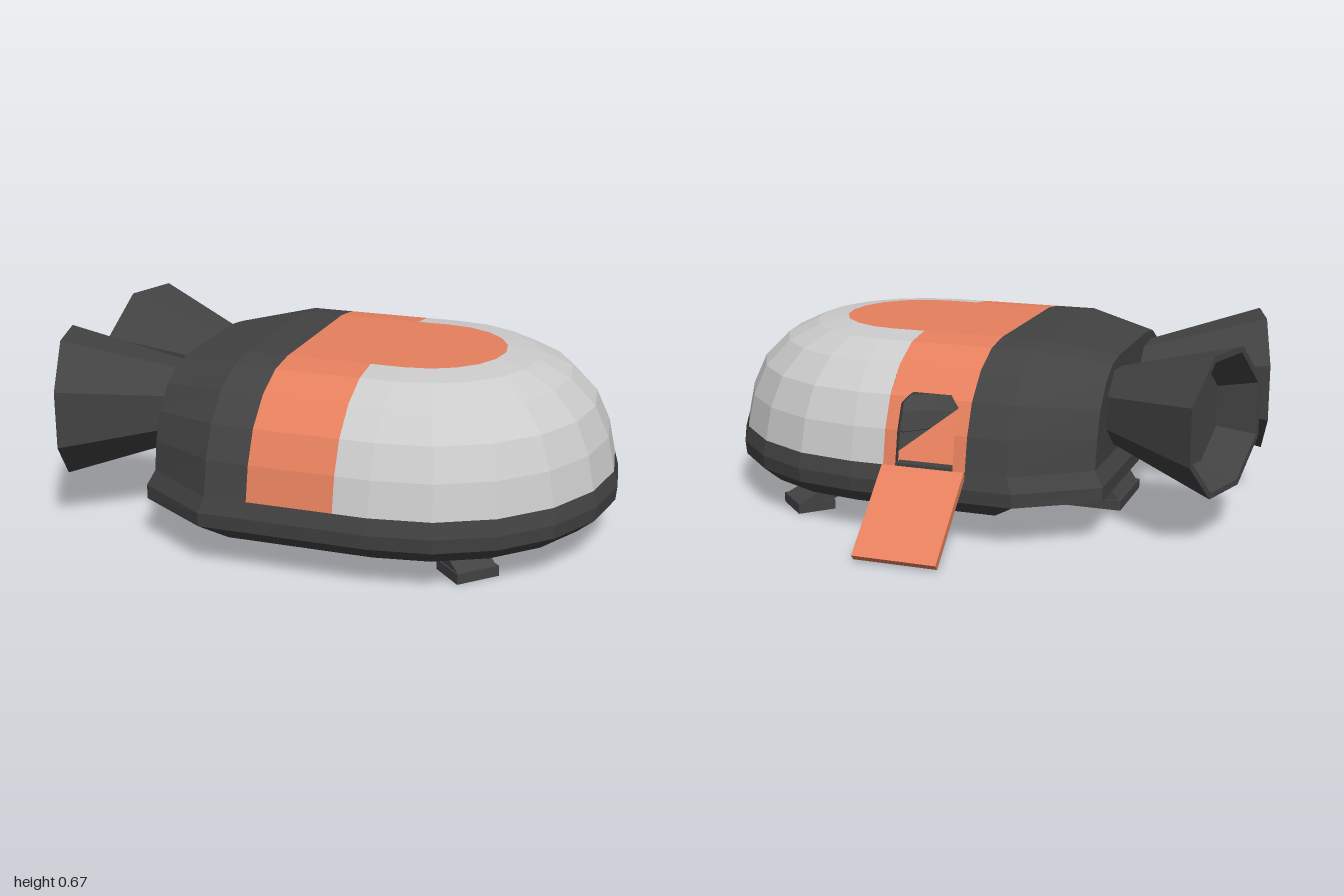
import * as THREE from 'three';

const CZ = 0.13;   // hull centre line in z
const NOSE = 0.31; // centre of the rounded nose in x
const V = (x, y, z) => new THREE.Vector3(x, y, z + CZ);
const paint = (color) => new THREE.MeshStandardMaterial({ color, flatShading: true, side: THREE.DoubleSide });

// Dome profile as [half width, height], base to roof
const DOME = [[0.675, 0.26], [0.65, 0.38], [0.6, 0.49], [0.51, 0.58], [0.395, 0.635], [0.28, 0.65]];

function geometryFrom(triangles) {
  const g = new THREE.BufferGeometry().setFromPoints(triangles.flat());
  g.computeVertexNormals();
  return g;
}

// Skin stretched over rows of points, skipping empty triangles
function grid(rows) {
  const tris = [];
  const add = (...t) => { if (new THREE.Triangle(...t).getArea() > 1e-7) tris.push(t); };
  for (let i = 0; i + 1 < rows.length; i++) {
    for (let j = 0; j + 1 < rows[i].length; j++) {
      const a = rows[i][j], b = rows[i][j + 1], c = rows[i + 1][j + 1], d = rows[i + 1][j];
      add(a, b, c);
      add(a, c, d);
    }
  }
  return geometryFrom(tris);
}

// Flat convex cap
function fan(points) {
  const tris = [];
  for (let i = 1; i + 1 < points.length; i++) tris.push([points[0], points[i], points[i + 1]]);
  return geometryFrom(tris);
}

// Half circle of the nose, from the +z side round to the -z side
function noseArc(r, y) {
  return Array.from({ length: 11 }, (_, i) => {
    const t = i * Math.PI / 10;
    return V(NOSE + r * Math.sin(t), y, r * Math.cos(t));
  });
}

// Closed outline of the skirt at one height
function skirtRing(r, y, rearX, rearHalf, shoulderX) {
  return [V(rearX, y, rearHalf), V(shoulderX, y, r), ...noseArc(r, y),
    V(shoulderX, y, -r), V(rearX, y, -rearHalf), V(rearX, y, rearHalf)];
}

// Block tapering from a bottom rectangle to a shifted top rectangle
function taperedBlock(w, d, h, topW, topD, shiftX) {
  const g = new THREE.BoxGeometry(w, h, d).translate(0, h / 2, 0);
  const p = g.attributes.position;
  for (let i = 0; i < p.count; i++) {
    if (p.getY(i) > h / 2) p.setXYZ(i, p.getX(i) * topW / w + shiftX, h, p.getZ(i) * topD / d);
  }
  g.computeVertexNormals();
  return g;
}

export function createModel() {
  const model = new THREE.Group();
  const dark = paint(0x424242), orange = paint(0xe6805e), grey = paint(0xcccccc);
  const add = (name, geometry, material, parent = model) => {
    const mesh = new THREE.Mesh(geometry, material);
    mesh.name = name;
    parent.add(mesh);
    return mesh;
  };

  // Dark skirt and belly, with a raised step under the tail
  const rings = [
    skirtRing(0.62, 0.1, -0.2, 0.6, -0.2),
    skirtRing(0.685, 0.155, -0.28, 0.62, -0.28),
    skirtRing(0.685, 0.155, -0.55, 0.515, -0.28),
    skirtRing(0.69, 0.205, -0.55, 0.515, -0.28),
    skirtRing(0.675, 0.26, -0.52, 0.506, -0.26),
  ];
  add('skirt', grid(rings), dark);
  add('belly', fan([...rings[0]].reverse()), dark);

  // Rounded nose and its roof panel
  const noseRows = DOME.map(([r, y]) => [V(0.19, y, r), ...noseArc(r, y), V(0.19, y, -r)]);
  add('noseShell', grid(noseRows), grey);
  add('roofPanel', fan(noseRows[5]), orange);

  // Tail shell, narrowing to a flat rear wall
  const arch = [...DOME, ...DOME.map(([r, y]) => [-r, y]).reverse()];
  const tailRows = arch.map(([z, y]) => [
    V(-0.52, 0.26 + (y - 0.26) * 0.87, z * 0.75), V(-0.26, y, z), V(-0.11, y, z)]);
  add('tailShell', grid(tailRows), dark);
  add('rearWall', fan(tailRows.map((row) => row[0])), dark);

  // Coloured band, cut by a doorway on the -z side
  const x0 = -0.11, x1 = 0.19;
  const doorway = [ // half width, height, hole left, hole right
    [0.585, 0.503, -0.03, 0.11], [0.6, 0.49, -0.045, 0.125], [0.61, 0.468, -0.065, 0.145],
    [0.65, 0.38, -0.065, 0.145], [0.675, 0.26, -0.065, 0.145]];
  const solid = [...arch.slice(0, 9), [-0.585, 0.503]];
  add('band', grid(solid.map(([z, y]) => [V(x0, y, z), V(x1, y, z)])), orange);
  add('doorSideRear', grid(doorway.map(([r, y, l]) => [V(x0, y, -r), V(l, y, -r)])), orange);
  add('doorSideFront', grid(doorway.map(([r, y, , h]) => [V(h, y, -r), V(x1, y, -r)])), orange);

  // Door frame and cabin floor
  const edge = [...doorway.map(([r, y, l]) => V(l, y, -r)).reverse(),
    ...doorway.map(([r, y, , h]) => V(h, y, -r))];
  add('doorFrame', grid([edge, edge.map((p) => p.clone().setZ(p.z + 0.025))]), dark);
  add('doorSill', new THREE.BoxGeometry(0.21, 0.01, 0.04).translate(0.04, 0.264, -0.522), dark);
  add('cabinFloor', new THREE.BoxGeometry(0.3, 0.01, 1.2).translate(0.04, 0.264, 0.1), orange);

  // Lowered ramp
  const ramp = add('ramp', new THREE.BoxGeometry(0.3, 0.025, 0.36), orange);
  ramp.position.set(0.04, 0.135, -0.682);
  ramp.rotation.x = -Math.atan2(0.235, 0.265);

  // Two splayed eight-sided engine nozzles
  const nozzleProfile = [[0.125, -0.06], [0.14, 0], [0.267, 0.43], [0.245, 0.43], [0.19, 0.3], [0, 0.3]]
    .map(([r, y]) => new THREE.Vector2(r, y));
  const nozzle = new THREE.LatheGeometry(nozzleProfile, 8, Math.PI / 8);
  nozzle.rotateZ(Math.PI / 2);
  for (const side of [-1, 1]) {
    const mesh = add(side > 0 ? 'engineFrontSide' : 'engineBackSide', nozzle, dark);
    mesh.position.set(-0.52, 0.425, CZ + side * 0.213);
    mesh.rotation.y = side * 0.296;
  }

  // Landing legs: one wide at the tail, two splayed at the nose
  const leg = (name, x, z, yaw, length, width, rise, shift) => {
    const group = new THREE.Group();
    group.name = name;
    group.position.set(x, 0, z + CZ);
    group.rotation.y = yaw;
    add('foot', new THREE.BoxGeometry(length, 0.036, width).translate(0, 0.018, 0), dark, group);
    const strut = taperedBlock(length * 0.92, width * 0.93, rise, length * 0.8, width * 0.93, shift);
    add('strut', strut.translate(0, 0.035, 0), dark, group);
    model.add(group);
  };
  leg('rearLeg', -0.4, 0, 0, 0.24, 0.29, 0.125, 0.07);
  leg('noseLegFrontSide', 0.58, 0.42, -Math.PI / 4, 0.14, 0.16, 0.07, -0.15);
  leg('noseLegBackSide', 0.58, -0.46, Math.PI / 4, 0.14, 0.16, 0.07, -0.15);

  return model;
}
